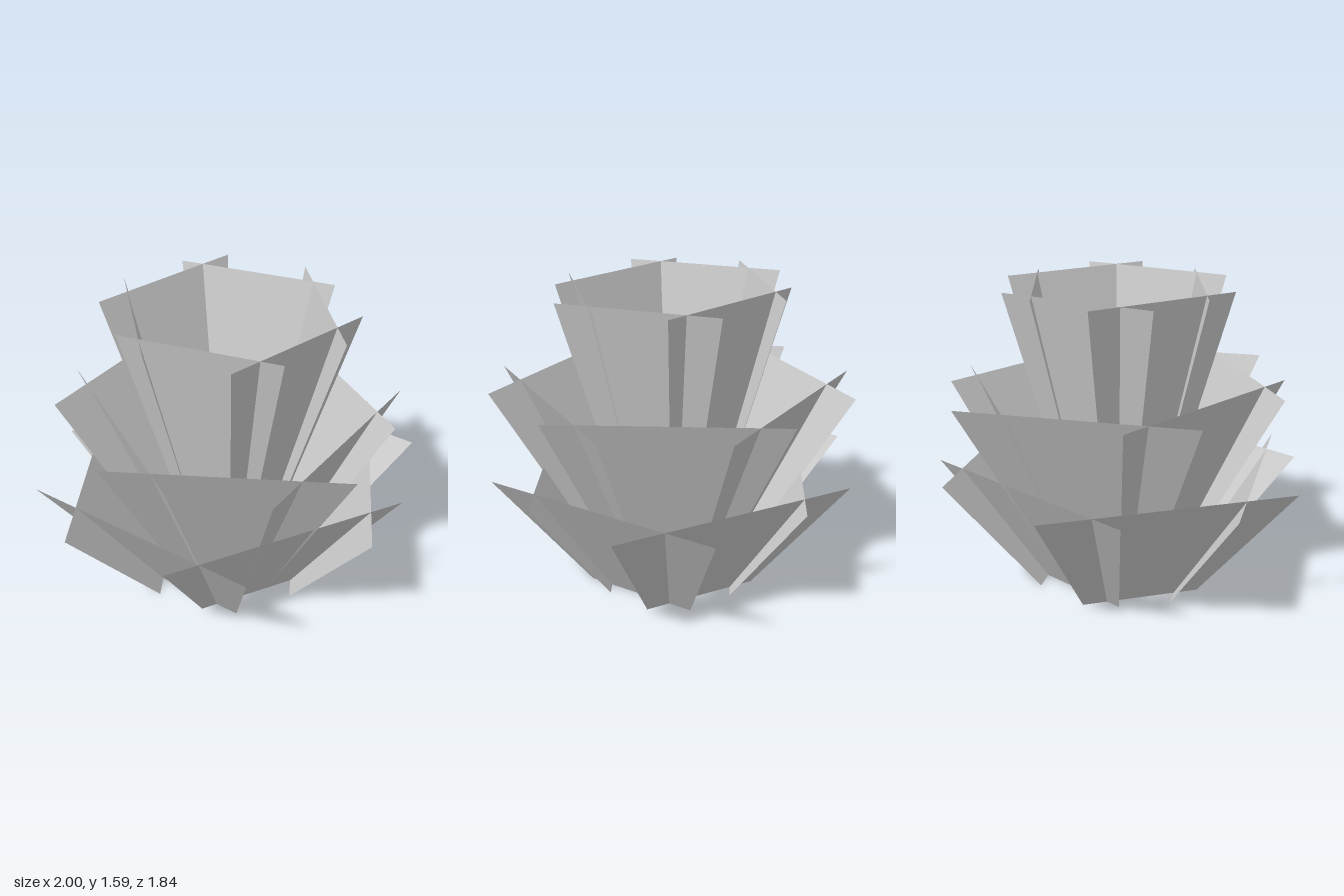
import * as THREE from 'three';

const material = new THREE.MeshStandardMaterial({ color: 0xcccccc, flatShading: true, side: THREE.DoubleSide });

// Six panels per tier: centre in plan (x, z) and the angle they face, from +z
const LAYOUT = [
  [0, 0.67, 0], [0.67, 0.335, 60], [0.67, -0.335, 120],
  [0, -0.67, 180], [-0.67, -0.335, 240], [-0.67, 0.335, 300],
];
const HALF_WIDTH = 0.66;

// Flat flaring petal whose bottom edge is a shrunken copy of its top edge
function petalGeometry([cx, cz, degrees], bottomScale, topScale, height) {
  const a = THREE.MathUtils.degToRad(degrees);
  const tx = Math.cos(a) * HALF_WIDTH, tz = -Math.sin(a) * HALF_WIDTH;
  const points = [];
  for (const [scale, y] of [[bottomScale, 0], [topScale, height]]) {
    for (const side of [-1, 1]) {
      points.push((cx + side * tx) * scale, y, (cz + side * tz) * scale);
    }
  }
  const geometry = new THREE.BufferGeometry();
  geometry.setAttribute('position', new THREE.Float32BufferAttribute(points, 3));
  geometry.setIndex([0, 1, 3, 0, 3, 2]);
  geometry.computeVertexNormals();
  return geometry;
}

function petalTier(name, { bottom, top, height, turn }) {
  const tier = new THREE.Group();
  tier.name = name;
  LAYOUT.forEach((place, i) => {
    const petal = new THREE.Mesh(petalGeometry(place, bottom, top, height), material);
    petal.name = `${name}Petal${i + 1}`;
    tier.add(petal);
  });
  tier.rotation.y = turn;
  return tier;
}

export function createModel() {
  const model = new THREE.Group();
  model.name = 'petalRosette';
  // Nested tiers: inner ones are taller, steeper and turned in plan
  model.add(
    petalTier('outerTier', { bottom: 0.47, top: 1, height: 0.65, turn: 0 }),
    petalTier('middleTier', { bottom: 0.313, top: 0.92, height: 1.08, turn: Math.PI / 2 }),
    petalTier('innerTier', { bottom: 0.157, top: 0.63, height: 1.59, turn: -Math.PI / 4 }),
  );
  return model;
}
